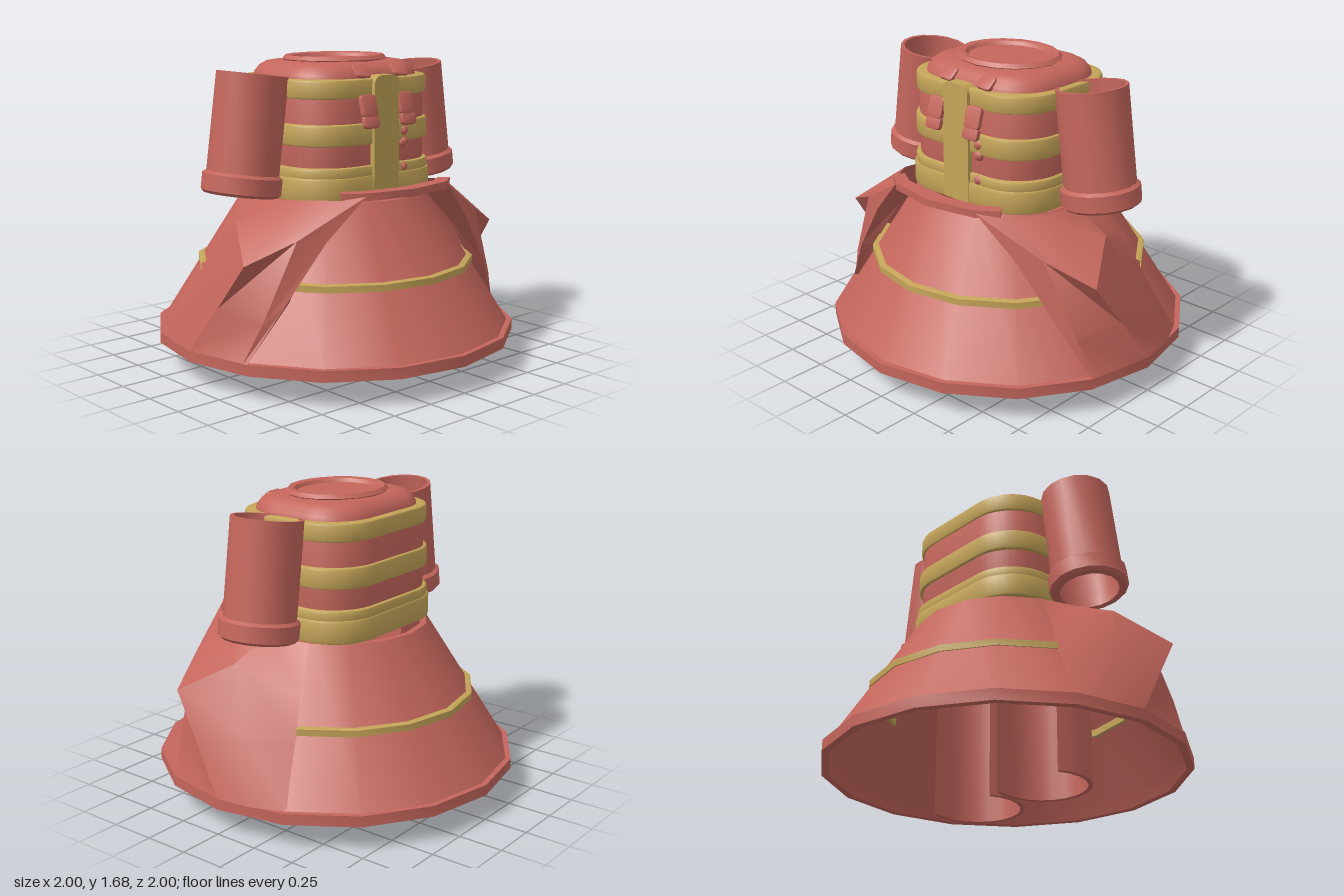
import * as THREE from 'three';
import { toCreasedNormals } from 'three/addons/utils/BufferGeometryUtils.js';

const RED = new THREE.MeshStandardMaterial({ color: 0xc4665c, side: THREE.DoubleSide });
const GOLD = new THREE.MeshStandardMaterial({ color: 0xc4a458, side: THREE.DoubleSide });
const DEG = Math.PI / 180;

export function createModel() {
  const model = new THREE.Group();
  model.name = 'armouredTorso';

  function add(name, geo, mat = RED, parent = model) {
    const mesh = new THREE.Mesh(toCreasedNormals(geo, 0.6), mat);
    mesh.name = name;
    parent.add(mesh);
    return mesh;
  }

  // Revolved profile of [radius, y] pairs; angles in degrees from the front
  function lathe(pts, segs = 16, from = 0, sweep = 360) {
    return new THREE.LatheGeometry(pts.map(p => new THREE.Vector2(...p)), segs, from * DEG, sweep * DEG);
  }

  // Horizontal slab with rounded corners (half sizes w, d) and bevelled edges
  function slab(w, d, r, y0, y1, bevel, thick = bevel, steps = 2) {
    w -= bevel; d -= bevel; r -= bevel;
    const s = new THREE.Shape();
    s.moveTo(w, -d + r);
    s.absarc(w - r, d - r, r, 0, Math.PI / 2);
    s.absarc(-w + r, d - r, r, Math.PI / 2, Math.PI);
    s.absarc(-w + r, -d + r, r, Math.PI, Math.PI * 1.5);
    s.absarc(w - r, -d + r, r, Math.PI * 1.5, Math.PI * 2);
    return new THREE.ExtrudeGeometry(s, {
      depth: y1 - y0 - 2 * thick, bevelSize: bevel, bevelThickness: thick,
      bevelSegments: steps, curveSegments: 5,
    }).rotateX(-Math.PI / 2).translate(0, y0 + thick, 0);
  }

  // Flared skirt with a thin wall and a hem
  add('skirt', lathe([[0.96, 0.14], [1, 0.14], [1, 0.2], [0.97, 0.2], [0.505, 0.94],
    [0.47, 0.94], [0.93, 0.2], [0.96, 0.14]]));

  // Trim stripes on the front and back of the skirt
  const trim = [[0.7, 0.53], [0.77, 0.53], [0.77, 0.565], [0.755, 0.57], [0.7, 0.57], [0.7, 0.53]];
  add('frontTrim', lathe(trim, 6, -67.5, 135), GOLD);
  add('backTrim', lathe(trim, 6, 112.5, 135), GOLD);

  // Folded cloth over each side: columns run front to back, rows top to bottom
  const folds = [
    [[0.27, 0.95, 0.44], [0.48, 0.78, 0.4], [0.68, 0.48, 0.42], [0.9, 0.2, 0.36]],
    [[0.30, 1.0, 0.58], [0.52, 0.78, 0.52], [0.74, 0.48, 0.46], [0.92, 0.2, 0.38]],
    [[0.40, 0.98, 0.50], [0.66, 0.80, 0.46], [0.84, 0.40, 0.41], [0.93, 0.2, 0.36]],
    [[0.52, 0.97, 0.30], [0.91, 0.69, 0.35], [0.95, 0.45, 0.18], [1.0, 0.2, 0.0]],
    [[0.53, 0.95, 0.05], [0.75, 0.85, 0.08], [0.88, 0.52, -0.08], [0.97, 0.2, -0.2]],
    [[0.47, 0.94, -0.18], [0.62, 0.72, -0.25], [0.72, 0.5, -0.3], [0.89, 0.2, -0.38]],
  ];
  function drape(side) {
    const pos = folds.flat().flatMap(([x, y, z]) => [x * side, y, z]);
    const index = [];
    for (let c = 0; c < folds.length - 1; c++) {
      for (let r = 0; r < 3; r++) {
        const a = c * 4 + r, b = a + 4;
        const quad = [a, a + 1, b + 1, a, b + 1, b];
        index.push(...(side > 0 ? quad : quad.reverse()));
      }
    }
    const geo = new THREE.BufferGeometry();
    geo.setAttribute('position', new THREE.Float32BufferAttribute(pos, 3));
    geo.setIndex(index);
    geo.computeVertexNormals();
    return geo;
  }

  // Cloth band joining the two drapes across the front
  const band = new THREE.Shape([[-0.4, 0.5], [-0.29, 0.58], [0, 0.635], [0.29, 0.58], [0.4, 0.5],
    [0.36, 0.45], [0.26, 0.51], [0, 0.55], [-0.26, 0.51], [-0.36, 0.45]].map(p => new THREE.Vector2(...p)));
  add('frontBand', new THREE.ExtrudeGeometry(band, { depth: 0.04, bevelEnabled: false })
    .rotateX(Math.PI / 2).translate(0, 1.015, 0));

  // Torso core, domed shoulders and gold hoops
  add('torso', slab(0.445, 0.385, 0.25, 0.95, 1.54, 0.015));
  add('shoulderDome', slab(0.42, 0.355, 0.25, 1.4, 1.655, 0.12, 0.1, 4));
  for (const [y0, y1, w] of [[0.94, 1.07, 0.47], [1.05, 1.12, 0.463], [1.23, 1.345, 0.46], [1.475, 1.575, 0.455]]) {
    add('hoop', slab(w, w - 0.06, 0.25, y0, y1, 0.015), GOLD);
  }

  // Neck ring with a shallow recess
  add('neckRing', lathe([[0.24, 1.6], [0.27, 1.635], [0.305, 1.66], [0.285, 1.68], [0.25, 1.675],
    [0.235, 1.655], [0, 1.66]])).scale.z = 0.87;

  // Front strap with a rounded top
  const strap = new THREE.Shape();
  strap.moveTo(-0.09, 0.95);
  strap.lineTo(0.09, 0.95);
  strap.absarc(0.04, 1.54, 0.05, 0, Math.PI / 2);
  strap.absarc(-0.04, 1.54, 0.05, Math.PI / 2, Math.PI);
  add('frontStrap', new THREE.ExtrudeGeometry(strap, { depth: 0.07, bevelEnabled: false, curveSegments: 5 })
    .translate(0, 0, 0.345), GOLD);

  // Rivets beside the strap
  for (const y of [1.285, 1.225, 1.09]) {
    const rivet = add('rivet', new THREE.SphereGeometry(0.03, 10, 6));
    rivet.position.set(0.145, y, 0.385);
  }

  // Tilted, softly bevelled clasp plate
  function clasp(name, x, y, z, w, h, tilt, roll = 0) {
    const geo = slab(w / 2, h / 2, 0.022, -0.015, 0.015, 0.008).rotateX(Math.PI / 2);
    const mesh = add(name, geo);
    mesh.position.set(x, y, z);
    mesh.rotation.set(tilt, 0, roll);
  }

  // Side tube: hollow barrel with a collar at its lower end
  const tube = [[0.16, 0], [0.195, 0], [0.212, 0.015], [0.212, 0.1], [0.192, 0.115], [0.19, 0.63],
    [0.172, 0.63], [0.172, 0.1], [0.16, 0]];

  for (const side of [1, -1]) {
    const tag = side > 0 ? 'left' : 'right';
    add(tag + 'Drape', drape(side));
    const barrel = add(tag + 'Tube', lathe(tube));
    barrel.position.set(0.657 * side, 0.977, 0);
    barrel.rotation.z = 0.14 * side;

    // Leg shell, open at the back
    const leg = add(tag + 'Leg', lathe([[0.235, 0], [0.26, 0], [0.26, 0.85], [0.235, 0.85], [0.235, 0]], 14, -115, 230));
    leg.position.set(0.26 * side, 0, 0.02);

    clasp(tag + 'UpperClasp', 0.135 * side, 1.435, 0.415, 0.105, 0.12, -0.28);
    clasp(tag + 'LowerClasp', 0.135 * side, 1.355, 0.435, 0.105, 0.07, -0.28);
    clasp(tag + 'ShoulderClasp', 0.02 + 0.135 * side, 1.605, 0.335, 0.1, 0.085, -0.8, -0.1);
  }

  return model;
}
